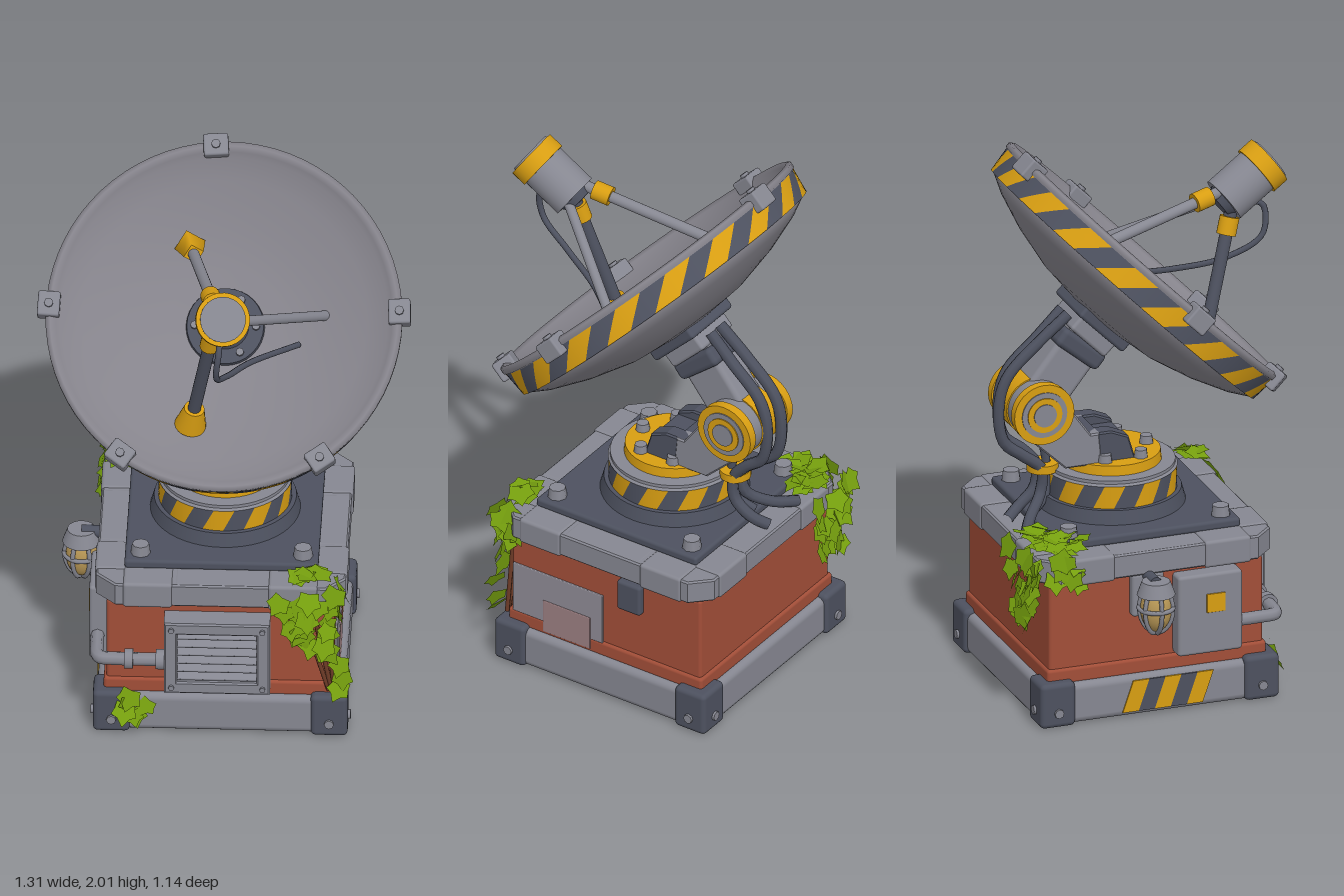
import * as THREE from 'three';
import { mergeGeometries } from 'three/addons/utils/BufferGeometryUtils.js';
import { RoundedBoxGeometry } from 'three/addons/geometries/RoundedBoxGeometry.js';

const mat = (name, color, side = THREE.FrontSide) => {
  const m = new THREE.MeshStandardMaterial({ color, side });
  m.name = name;
  return m;
};
const V = (x, y, z) => new THREE.Vector3(x, y, z);
const pts2 = list => list.map(p => new THREE.Vector2(...p));

export function createModel() {
  const root = new THREE.Group();
  const grey = mat('steel grey', 0x868791), dishGrey = mat('dish grey', 0x85838b), dark = mat('dark steel', 0x4d515f);
  const yellow = mat('safety yellow', 0xd89e12), brick = mat('rusty red', 0xa24e38);
  const green = mat('ivy green', 0x76a00e, THREE.DoubleSide), brown = mat('vine brown', 0x6b3a26);
  const glass = mat('lamp glass', 0xb99856), patchMat = mat('faded patch', 0x8f8b95), pink = mat('patch pink', 0x9c7f82);

  const add = (name, geo, m, x = 0, y = 0, z = 0, parent = root) => {
    const mesh = new THREE.Mesh(geo, m);
    mesh.name = name;
    mesh.position.set(x, y, z);
    parent.add(mesh);
    return mesh;
  };
  const box = (name, m, w, h, d, x, y, z, parent, r = 0.012) =>
    add(name, new RoundedBoxGeometry(w, h, d, 2, Math.min(r, w / 3, h / 3, d / 3)), m, x, y, z, parent);
  const cyl = (name, m, r1, r2, h, x, y, z, parent, n = 32) =>
    add(name, new THREE.CylinderGeometry(r1, r2, h, n), m, x, y, z, parent);
  const extrude = (shape, depth) =>
    new THREE.ExtrudeGeometry(shape, { depth, bevelSize: 0.006, bevelThickness: 0.006, bevelSegments: 1 });
  // Square slab with cut corners
  const cutSlab = (name, m, s, c, h, y, z) => {
    const e = s - c, shape = new THREE.Shape(pts2([[-e, -s], [e, -s], [s, -e], [s, e], [e, s], [-e, s], [-s, e], [-s, -e]]));
    add(name, extrude(shape, h), m, 0, y, -0 + z).rotation.x = -Math.PI / 2;
  };
  // Places a y-aligned geometry between two points
  const between = (name, geo, m, a, b) => {
    const p = a.clone().lerp(b, 0.5), mesh = add(name, geo, m, p.x, p.y, p.z);
    mesh.quaternion.setFromUnitVectors(V(0, 1, 0), b.clone().sub(a).normalize());
    return mesh;
  };
  const rod = (name, m, a, b, r1, r2 = r1, n = 20) =>
    between(name, new THREE.CylinderGeometry(r2, r1, a.distanceTo(b), n), m, a, b);
  const tube = (name, m, pts, r) =>
    add(name, new THREE.TubeGeometry(new THREE.CatmullRomCurve3(pts), 40, r, 8), m);

  // Band of slanted hazard stripes round the y axis
  const stripedBand = (name, r0, y0, r1, y1, n, slant, parent) => {
    const sets = [[], []], S = 6, T = 3, step = Math.PI / n;
    const pt = (k, i, j) => {
      const t = j / T, a = (k + i / S) * step + slant * t, r = r0 + (r1 - r0) * t;
      return [r * Math.cos(a), y0 + (y1 - y0) * t, r * Math.sin(a)];
    };
    for (let k = 0; k < 2 * n; k++) for (let i = 0; i < S; i++) for (let j = 0; j < T; j++) {
      const a = pt(k, i, j), b = pt(k, i, j + 1), c = pt(k, i + 1, j + 1), d = pt(k, i + 1, j);
      sets[k % 2].push(...a, ...b, ...d, ...b, ...c, ...d);
    }
    sets.forEach((p, s) => {
      const g = new THREE.BufferGeometry();
      g.setAttribute('position', new THREE.Float32BufferAttribute(p, 3));
      const nrm = [];
      for (let i = 0; i < p.length; i += 3) {
        const l = Math.hypot(p[i], p[i + 2]);
        nrm.push(p[i] / l, 0, p[i + 2] / l);
      }
      g.setAttribute('normal', new THREE.Float32BufferAttribute(nrm, 3));
      add(name + (s ? 'Yellow' : 'Dark'), g, s ? yellow : dark, 0, 0, 0, parent);
    });
  };

  // Plinth, body and cap
  const cz = -0.06;
  box('plinth', grey, 0.87, 0.15, 0.87, 0, 0.077, cz, root, 0.025);
  box('body', brick, 0.8, 0.39, 0.8, 0, 0.33, cz);
  box('bodyFoot', brick, 0.82, 0.06, 0.82, 0, 0.175, cz);
  cutSlab('capCore', grey, 0.432, 0.065, 0.077, 0.534, cz);
  for (let s = 0; s < 4; s++) {
    const side = new THREE.Group();
    side.name = 'capSide';
    side.position.z = cz;
    side.rotation.y = s * Math.PI / 2;
    root.add(side);
    [[-0.255, 0.175], [0, 0.325], [0.255, 0.175]].forEach(([x, w], i) =>
      box('capBlock', grey, w, i === 1 ? 0.092 : 0.1, 0.16, x, 0.572, i === 1 ? 0.357 : 0.363, side));
    // Corner guards with bolts
    box('cornerGuard', dark, 0.13, 0.165, 0.13, 0.382, 0.0825, 0.382, side, 0.018);
    for (const x of [-0.382, 0.382])
      cyl('guardBolt', grey, 0.017, 0.017, 0.02, x, 0.055, 0.446, side, 8).rotation.x = Math.PI / 2;
    cyl('plateBolt', grey, 0.03, 0.036, 0.045, 0.285, 0.667, 0.285, side, 8);
  }
  box('topPlate', dark, 0.68, 0.035, 0.68, 0, 0.635, cz);

  // Front vent
  const frame = new THREE.Shape(pts2([[-0.18, -0.14], [0.18, -0.14], [0.18, 0.14], [-0.18, 0.14]]));
  frame.holes.push(new THREE.Path(pts2([[-0.145, -0.105], [-0.145, 0.105], [0.145, 0.105], [0.145, -0.105]])));
  add('ventFrame', extrude(frame, 0.08), grey, -0.01, 0.34, 0.34);
  box('ventBack', dark, 0.3, 0.22, 0.02, -0.01, 0.34, 0.355);
  for (let i = 0; i < 6; i++)
    box('ventSlat', grey, 0.29, 0.012, 0.045, -0.01, 0.255 + i * 0.034, 0.392).rotation.x = 0.5;
  for (const x of [-0.16, 0.16]) for (const y of [-0.12, 0.12])
    cyl('ventScrew', grey, 0.01, 0.01, 0.012, x - 0.01, 0.34 + y, 0.428, root, 8).rotation.x = Math.PI / 2;

  // Pipe from the vent round to the junction box
  tube('pipe', grey, [V(-0.19, 0.31, 0.385), V(-0.36, 0.31, 0.385), V(-0.425, 0.31, 0.375), V(-0.435, 0.31, 0.3), V(-0.435, 0.31, 0.2)], 0.024);
  for (const x of [-0.21, -0.32]) cyl('pipeFlange', grey, 0.036, 0.036, 0.03, x, 0.31, 0.385, root, 16).rotation.z = Math.PI / 2;
  box('junctionBox', grey, 0.07, 0.3, 0.24, -0.43, 0.36, 0.12);
  box('junctionLabel', yellow, 0.006, 0.07, 0.07, -0.466, 0.4, 0.14);

  // Caged lamp
  cyl('lampBase', grey, 0.05, 0.068, 0.05, -0.505, 0.505, -0.1, root, 20);
  const bulb = add('lampGlass', new THREE.SphereGeometry(0.056, 20, 14), glass, -0.505, 0.425, -0.1);
  bulb.scale.y = 1.5;
  for (let i = 0; i < 3; i++) {
    const bar = add('lampCageBar', new THREE.TorusGeometry(0.06, 0.008, 6, 28), grey, -0.505, 0.425, -0.1);
    bar.scale.y = 1.45;
    bar.rotation.y = i * Math.PI / 3;
  }
  add('lampCageRing', new THREE.TorusGeometry(0.062, 0.008, 6, 28), grey, -0.505, 0.43, -0.1).rotation.x = Math.PI / 2;
  rod('lampArm', dark, V(-0.39, 0.52, -0.1), V(-0.505, 0.52, -0.1), 0.022);
  box('lampMount', grey, 0.04, 0.16, 0.12, -0.41, 0.45, -0.1);

  // Side patch, switch box and plinth hazard plate
  box('sidePatch', patchMat, 0.009, 0.2, 0.38, 0.405, 0.3, 0.14);
  box('sidePatchLower', pink, 0.009, 0.13, 0.2, 0.409, 0.225, 0.1);
  box('switchBox', dark, 0.035, 0.12, 0.1, 0.41, 0.445, -0.17);
  for (let i = 0; i < 5; i++) {
    const z = -0.2 + i * 0.06;
    const stripe = new THREE.Shape(pts2([[z, 0.02], [z + 0.06, 0.02], [z + 0.1, 0.135], [z + 0.04, 0.135]]));
    add('plinthStripe', new THREE.ExtrudeGeometry(stripe, { depth: 0.006, bevelEnabled: false }), i % 2 ? dark : yellow, -0.434).rotation.y = -Math.PI / 2;
  }

  // Turntable
  const turn = new THREE.Group();
  turn.name = 'turntable';
  turn.position.z = -0.08;
  root.add(turn);
  cyl('turntableFoot', dark, 0.25, 0.265, 0.055, 0, 0.675, 0, turn, 48);
  cyl('turntableCore', grey, 0.228, 0.228, 0.11, 0, 0.75, 0, turn, 48);
  stripedBand('turntableStripe', 0.234, 0.7, 0.234, 0.785, 10, -0.18, turn);
  cyl('turntableLip', grey, 0.22, 0.236, 0.015, 0, 0.793, 0, turn, 48);
  cyl('turntableTop', yellow, 0.176, 0.18, 0.042, 0, 0.82, 0, turn, 40);
  for (let i = 0; i < 6; i++) {
    const a = i * Math.PI / 3 + 0.5;
    cyl('turntableBolt', grey, 0.022, 0.026, 0.03, 0.135 * Math.cos(a), 0.855, 0.135 * Math.sin(a), turn, 8);
  }

  // Yoke, elbow and upper arm
  const yoke = new THREE.Shape(pts2([[-0.16, 0.84], [-0.17, 0.945], [-0.2, 0.945], [-0.29, 1.07], [-0.44, 0.98], [-0.29, 0.84]]));
  const foot = new THREE.Shape(pts2([[-0.035, 0.84], [-0.06, 0.92], [-0.12, 0.945], [-0.19, 0.945], [-0.19, 0.84]]));
  const slab = (name, shape, m, w, x) => add(name, extrude(shape, w), m, x + w / 2).rotation.y = -Math.PI / 2;
  for (const x of [-0.085, 0.085]) {
    slab('yokeCheek', yoke, grey, 0.055, x);
    slab('yokeFoot', foot, dark, 0.05, x);
  }
  box('yokeBlock', dark, 0.14, 0.09, 0.16, 0, 0.87, -0.13);
  slab('yokeWeb', yoke, dark, 0.12, 0);
  const elbow = V(0, 1.055, -0.377);
  const turned = (name, m, r, w, x = 0) => cyl(name, m, r, r, w, x, elbow.y, elbow.z).rotation.z = Math.PI / 2;
  turned('elbowDrum', grey, 0.106, 0.24);
  turned('elbowBand', yellow, 0.111, 0.1);
  for (const x of [-0.115, 0.115]) turned('elbowFlange', yellow, 0.112, 0.034, x);
  turned('elbowInset', grey, 0.084, 0.272);
  turned('elbowRing', yellow, 0.064, 0.28);
  turned('elbowPin', grey, 0.042, 0.288);
  const armTop = V(0, 1.335, -0.155);
  between('upperArm', new RoundedBoxGeometry(0.13, elbow.distanceTo(armTop), 0.17, 2, 0.02), grey, elbow, armTop);
  between('armCollar', new RoundedBoxGeometry(0.17, 0.07, 0.2, 2, 0.02), dark, V(0, 1.23, -0.24), V(0, 1.285, -0.195));

  // Hoses behind the arm, gathered by a collar
  [[-0.03, 0], [0.03, 0.02]].forEach(([x, dz]) =>
    tube('hose', dark, [V(x, 1.38, -0.25), V(x, 1.29, -0.36 + dz), V(x, 1.17, -0.48 + dz), V(x, 1.06, -0.51 + dz), V(x, 0.93, -0.49 + dz),
      V(x, 0.87, -0.42 + dz), V(x, 0.81, -0.35), V(x, 0.72, -0.355), V(x * 2 - 0.04, 0.66, -0.42), V(x * 3 - 0.1, 0.63, -0.47)], 0.021));
  tube('cable', dark, [V(0, 0.97, -0.35), V(0, 0.81, -0.32), V(-0.01, 0.7, -0.33), V(-0.04, 0.65, -0.39)], 0.016);
  cyl('hoseCollar', yellow, 0.056, 0.056, 0.03, 0, 0.81, -0.335);

  // Dish, tilted up to the front
  const dish = new THREE.Group();
  dish.name = 'dish';
  dish.position.set(0, 1.53, 0.042);
  dish.rotation.x = 0.78;
  root.add(dish);
  const profile = [[0, -0.26], [0.12, -0.255], [0.25, -0.24], [0.4, -0.2], [0.53, -0.15], [0.605, -0.108], [0.614, -0.02], [0.626, -0.014],
    [0.626, 0.004], [0.61, 0.012], [0.59, 0], [0.575, -0.02], [0.5, -0.065], [0.35, -0.13], [0.2, -0.172], [0, -0.19]];
  add('dishBowl', new THREE.LatheGeometry(pts2(profile), 72), dishGrey, 0, 0, 0, dish);
  stripedBand('rimStripe', 0.611, -0.11, 0.62, -0.017, 18, -Math.PI / 18, dish);
  [[-0.045, -0.612], [-0.615, -0.03], [0.615, -0.03], [-0.35, 0.5], [0.35, 0.5]].forEach(([x, z]) => {
    const clip = new THREE.Group();
    clip.name = 'rimClip';
    clip.position.set(x, 0, z);
    clip.rotation.y = Math.atan2(x, z);
    dish.add(clip);
    box('clipBlock', grey, 0.088, 0.075, 0.078, 0, -0.008, 0, clip, 0.008);
    cyl('clipBolt', grey, 0.016, 0.016, 0.012, 0, 0.034, 0, clip, 8);
  });
  box('dishBracket', dark, 0.25, 0.05, 0.23, 0, -0.265, 0, dish);
  box('dishBracketBlock', grey, 0.19, 0.07, 0.18, 0, -0.31, 0, dish);
  // Hub in the bowl
  cyl('hubPlate', dark, 0.135, 0.14, 0.025, 0, -0.173, 0, dish);
  cyl('hubStep', dark, 0.07, 0.085, 0.03, 0, -0.15, 0, dish);
  add('hubDome', new THREE.SphereGeometry(0.05, 20, 12), dark, 0, -0.135, 0, dish);
  for (let i = 0; i < 6; i++) {
    const a = i * Math.PI / 3;
    cyl('hubBolt', grey, 0.014, 0.014, 0.02, 0.108 * Math.cos(a), -0.155, 0.108 * Math.sin(a), dish, 8);
  }

  // Feed horn on three struts
  const hornBack = V(0, 1.715, 0.345), hornTip = V(0.016, 1.84, 0.525);
  const along = t => hornBack.clone().lerp(hornTip, t);
  rod('hornNeck', dark, along(-0.12), along(0.05), 0.05, 0.07);
  rod('hornBody', grey, along(0), along(0.72), 0.086, 0.086, 32);
  rod('hornCap', yellow, along(0.7), along(0.97), 0.095, 0.095, 32);
  rod('hornFace', grey, along(0.9), along(1), 0.08, 0.08, 32);
  [[V(-0.02, 1.76, 0.33), V(-0.13, 1.64, -0.24), 0.02, 4, grey], [V(-0.02, 1.71, 0.37), V(-0.11, 1.195, 0.22), 0.023, 20, dark],
    [V(0.03, 1.72, 0.36), V(0.355, 1.46, -0.085), 0.018, 0, grey]].forEach(([a, b, r, sides, m]) => {
    const at = d => a.clone().lerp(b, d / a.distanceTo(b)), L = a.distanceTo(b);
    rod('strut', m, a, b, r);
    if (!sides) return;
    rod('strutCollar', yellow, at(0.05), at(0.115), 0.035);
    rod('strutFoot', yellow, at(L - 0.085), at(L + 0.005), 0.036, 0.056, sides);
  });
  tube('feedCable', dark, [V(0, 1.7, 0.42), V(0, 1.68, 0.49), V(-0.01, 1.57, 0.485), V(0.02, 1.49, 0.36), V(0.1, 1.44, 0.19), V(0.26, 1.385, -0.01)], 0.011);

  // Ivy: seeded clusters of lobed leaves
  let seed = 7;
  const rnd = () => (seed = (seed * 16807) % 2147483647) / 2147483647;
  const lobes = [[0, -0.05], [0.02, -0.022], [0.042, -0.012], [0.033, 0.01], [0.03, 0.033], [0, 0.028]];
  const outline = [...lobes, ...lobes.slice(1, 5).reverse().map(([x, y]) => [-x, y])];
  const leaf = new THREE.ShapeGeometry(new THREE.Shape(pts2(outline)));
  const ivy = (count, o, u, v, n) => {
    const leaves = [], d = new THREE.Object3D();
    for (let i = 0; i < count; i++) {
      const t = (i + rnd()) / count;
      d.position.copy(o).addScaledVector(u, (rnd() - 0.5) * (1 - 0.6 * t)).addScaledVector(v, t).addScaledVector(n, 0.01 + rnd() * 0.03);
      d.lookAt(d.position.clone().add(n).add(V(rnd() - 0.5, rnd() * 0.6, rnd() - 0.5)));
      d.rotateZ((rnd() - 0.5) * 1.4);
      d.scale.setScalar(0.8 + rnd() * 0.4);
      d.updateMatrix();
      leaves.push(leaf.clone().applyMatrix4(d.matrix));
    }
    add('ivyLeaves', mergeGeometries(leaves), green);
  };
  const X = V(1, 0, 0), Y = V(0, 1, 0), Z = V(0, 0, 1), nX = V(-1, 0, 0), nZ = V(0, 0, -1);
  ivy(20, V(0.3, 0.6, 0.385), V(0.24, 0, 0), V(0.03, -0.22, -0.01), Z);
  ivy(4, V(0.38, 0.4, 0.36), V(0.08, 0, 0), V(0.04, -0.22, 0), Z);
  ivy(8, V(0.4, 0.61, 0.31), V(0, 0, 0.12), V(-0.01, -0.12, 0.04), X);
  ivy(6, V(0.31, 0.62, 0.31), V(0.14, 0, 0), V(0, 0, 0.06), Y);
  ivy(6, V(-0.28, 0.16, 0.375), V(0.12, 0, 0), V(-0.03, -0.1, 0), Z);
  ivy(28, V(-0.31, 0.64, -0.51), V(0.26, 0, 0), V(-0.01, -0.27, 0.01), nZ);
  ivy(24, V(-0.4, 0.63, -0.36), V(0.12, 0, 0.12), V(0.17, 0.01, -0.12), Y);
  ivy(8, V(-0.42, 0.63, -0.4), V(0, 0, 0.18), V(0.01, -0.11, 0), nX);
  for (let i = 0; i < 3; i++)
    tube('vine', brown, [V(0.27 + i * 0.05, 0.54, 0.35), V(0.32 + i * 0.03, 0.38, 0.355), V(0.38 + i * 0.01, 0.18, 0.36)], 0.008);
  return root;
}
